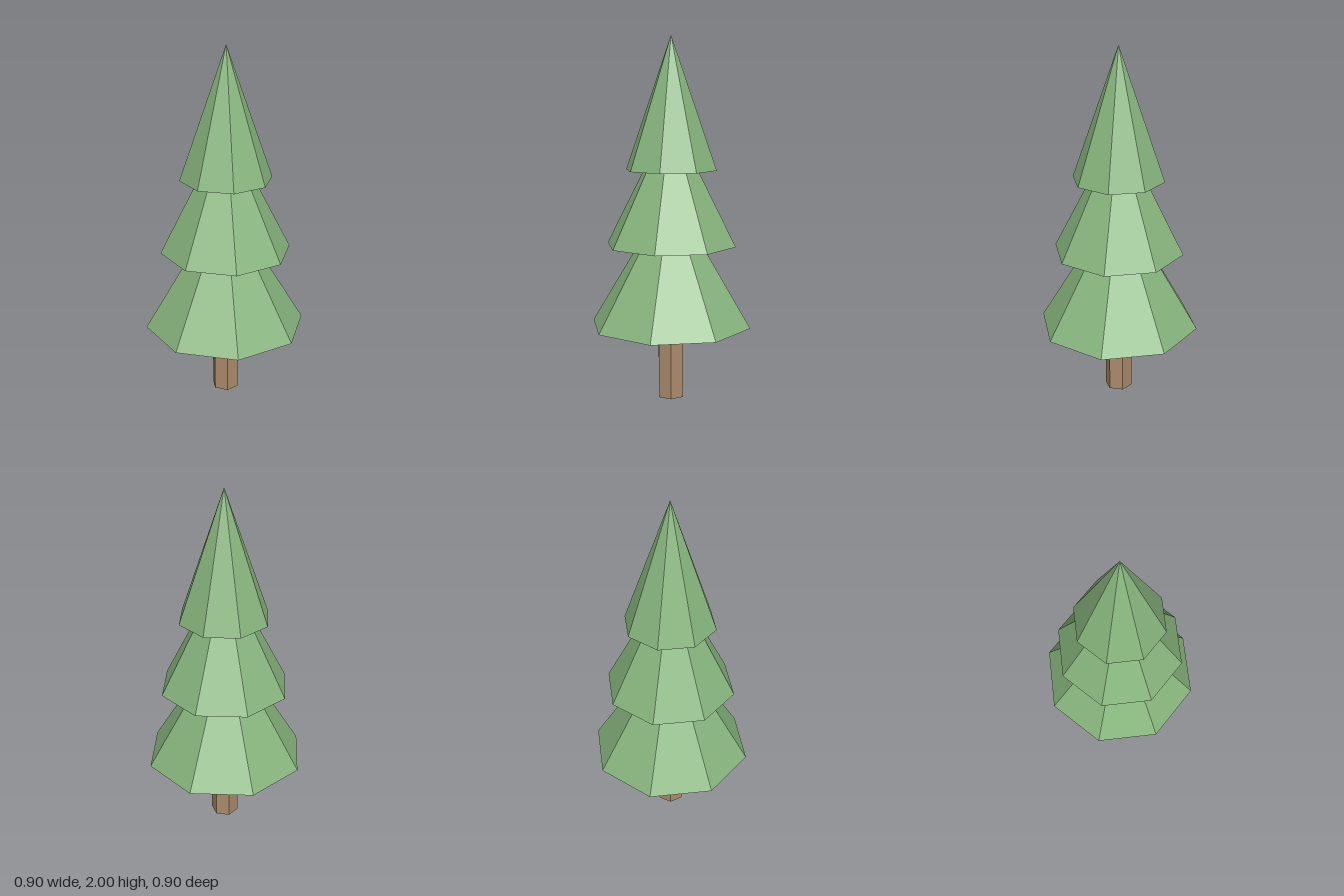
import * as THREE from 'three';

export function createModel() {
  const tree = new THREE.Group();
  tree.name = 'pineTree';

  const green = new THREE.MeshStandardMaterial({ color: 0x88b67e });
  green.name = 'needle green';
  const brown = new THREE.MeshStandardMaterial({ color: 0xab8d6c });
  brown.name = 'bark brown';

  // Adds a faceted, closed part standing on the given base height
  function addPart(name, geometry, material, x, base, height) {
    const faceted = geometry.toNonIndexed();
    faceted.computeVertexNormals();
    const mesh = new THREE.Mesh(faceted, material);
    mesh.name = name;
    mesh.position.set(x, base + height / 2, 0);
    tree.add(mesh);
  }

  // Six-sided trunk, running a little way into the foliage
  addPart('trunk', new THREE.CylinderGeometry(0.077, 0.077, 0.45, 6), brown, 0.003, 0, 0.45);

  // Three stacked eight-sided cones of foliage
  const tiers = [
    { name: 'lowerFoliage', radius: 0.45, x: 0, base: 0.412, height: 0.75 },
    { name: 'middleFoliage', radius: 0.363, x: 0.004, base: 0.862, height: 0.71 },
    { name: 'upperFoliage', radius: 0.254, x: 0.006, base: 1.276, height: 0.724 },
  ];
  for (const t of tiers) {
    addPart(t.name, new THREE.ConeGeometry(t.radius, t.height, 8), green, t.x, t.base, t.height);
  }

  return tree;
}
